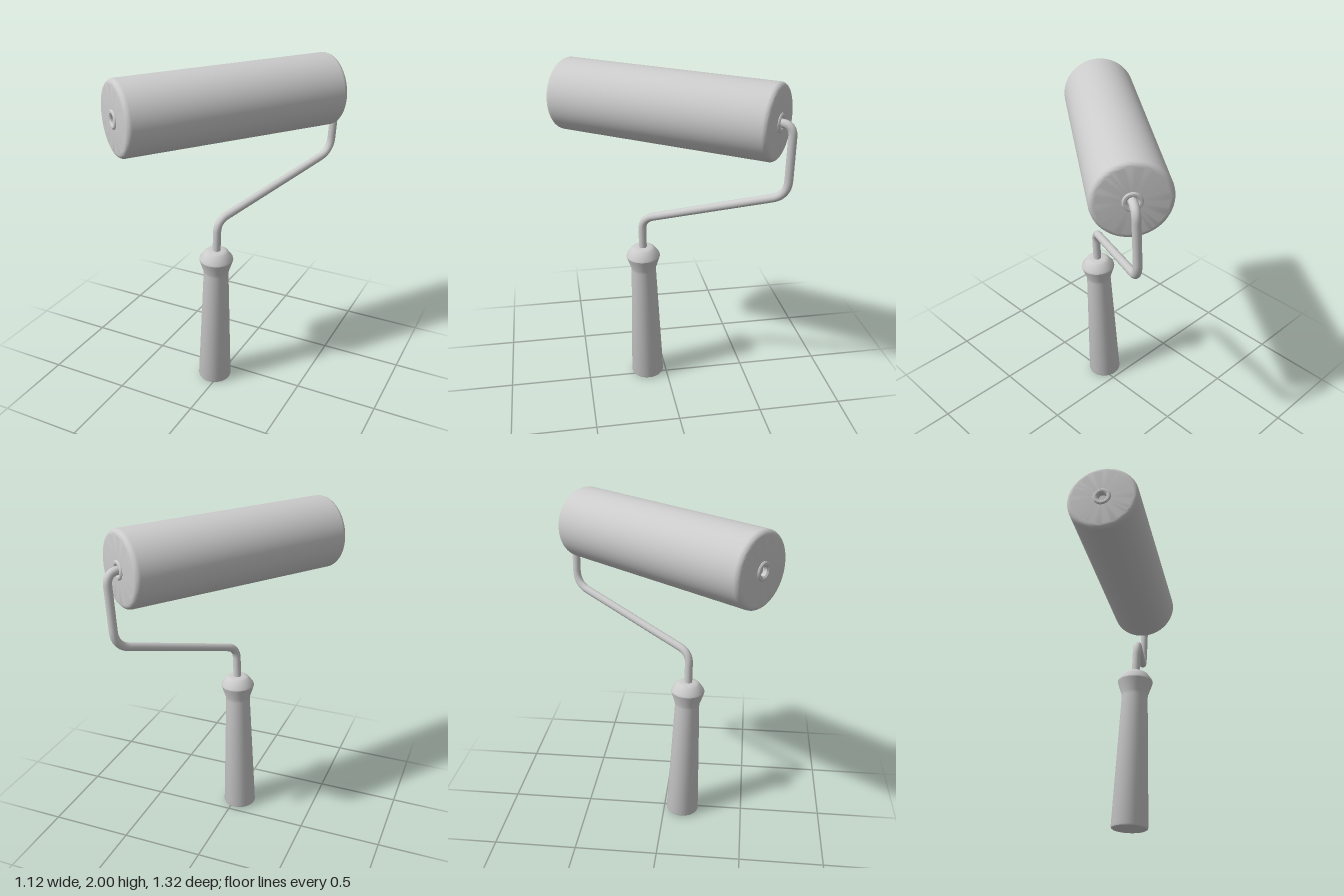
import * as THREE from 'three';
import { toCreasedNormals } from 'three/addons/utils/BufferGeometryUtils.js';

const material = new THREE.MeshStandardMaterial({ color: 0xcccccc });
const UP = new THREE.Vector3(0, 1, 0);
const V = (x, y, z) => new THREE.Vector3(x, y, z);

function lathe(name, profile, sides) {
  const points = profile.map(([r, y]) => new THREE.Vector2(r, y));
  const geometry = toCreasedNormals(new THREE.LatheGeometry(points, sides), 0.5);
  const mesh = new THREE.Mesh(geometry, material);
  mesh.name = name;
  return mesh;
}

// Quarter-round corner for a profile, swept from angle a0 by 90 degrees
function corner(cx, cy, r, a0, steps = 6) {
  return Array.from({ length: steps + 1 }, (_, i) => {
    const a = a0 + (i / steps) * Math.PI / 2;
    return [cx + r * Math.cos(a), cy + r * Math.sin(a)];
  });
}

// Straight runs joined by rounded bends
function bentPath(points, bend) {
  const path = new THREE.CurvePath();
  let from = points[0];
  for (let i = 1; i < points.length - 1; i++) {
    const p = points[i];
    const toward = (q) => p.clone().add(q.clone().sub(p).setLength(bend[i - 1]));
    const a = toward(points[i - 1]);
    const b = toward(points[i + 1]);
    path.add(new THREE.LineCurve3(from, a));
    path.add(new THREE.QuadraticBezierCurve3(a, p, b));
    from = b;
  }
  path.add(new THREE.LineCurve3(from, points[points.length - 1]));
  return path;
}

export function createModel() {
  const model = new THREE.Group();
  model.name = 'paintRoller';

  // Roller axis, lying diagonally across x and z
  const axis = V(0.592, 0, -0.806).normalize();
  const center = V(0, 1.787, 0);
  const R = 0.213, H = 0.676, bore = 0.03, round = 0.03;

  const roller = new THREE.Group();
  roller.name = 'roller';
  roller.position.copy(center);
  roller.quaternion.setFromUnitVectors(UP, axis);
  model.add(roller);

  // Sleeve with rounded rims and a bore for the axle
  roller.add(lathe('sleeve', [
    [bore, -H],
    ...corner(R - round, -H + round, round, -Math.PI / 2),
    ...corner(R - round, H - round, round, 0),
    [bore, H],
    [bore, -H],
  ], 64));

  // Raised ring around the axle at each end
  for (const side of [-1, 1]) {
    const ring = lathe('hubRing', [
      [bore - 0.003, -0.02], [0.054, -0.02], [0.054, 0.003], [0.047, 0.009],
      [0.036, 0.009], [bore - 0.003, 0.002], [bore - 0.003, -0.02],
    ], 32);
    ring.position.y = side * H;
    if (side < 0) ring.rotation.x = Math.PI;
    roller.add(ring);
  }

  // Bent wire frame from the handle up and through the roller
  const axleEnd = center.clone().addScaledVector(axis, -H + 0.02);
  const path = bentPath([
    V(-0.004, 0.85, 0.142),
    V(0.008, 1.115, 0.146),
    V(0.414, 1.375, -0.605),
    V(0.436, 1.787, -0.604),
    center.clone().addScaledVector(axis, H - 0.01),
    axleEnd,
  ], [0.07, 0.09, 0.07, 0.005]);
  const rod = new THREE.Mesh(new THREE.TubeGeometry(path, 240, 0.024, 16), material);
  rod.name = 'wireFrame';
  model.add(rod);

  const cap = new THREE.Mesh(new THREE.CircleGeometry(0.024, 16), material);
  cap.name = 'axleEnd';
  cap.position.copy(axleEnd);
  cap.quaternion.setFromUnitVectors(V(0, 0, 1), axis.clone().negate());
  model.add(cap);

  // Tapered, slightly leaning handle with a flared collar
  const handle = lathe('handle', [
    [0, 0], [0.092, 0], [0.099, 0.004], [0.102, 0.012],
    [0.075, 0.765], [0.078, 0.785], [0.098, 0.845], [0.102, 0.86], [0.099, 0.872],
    [0.071, 0.91], [0.06, 0.918], [0.045, 0.921], [0, 0.921],
  ], 40);
  handle.position.set(-0.033, 0.004, 0.118);
  handle.quaternion.setFromUnitVectors(UP, V(0.031, 0.92, 0.025).normalize());
  model.add(handle);

  return model;
}
